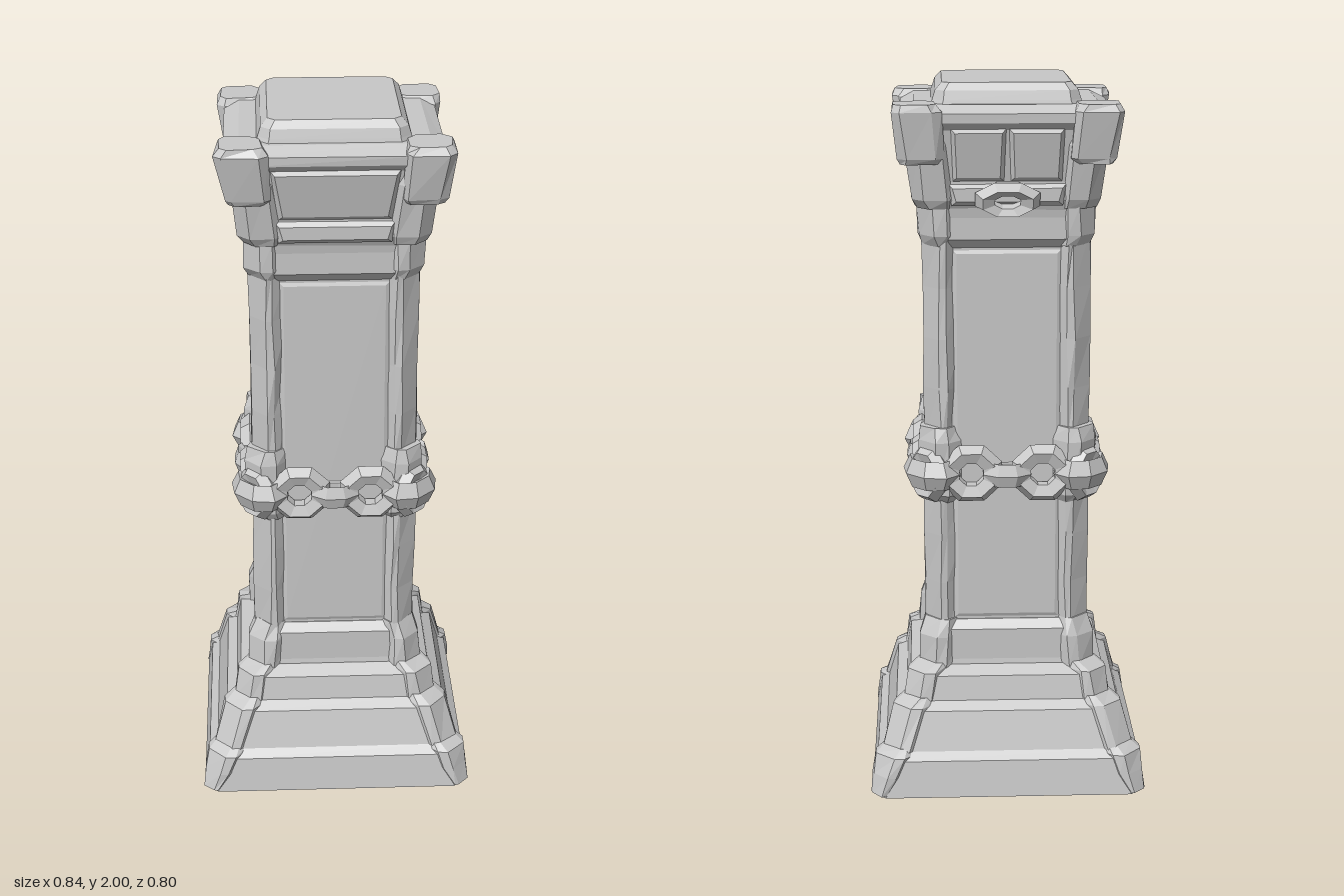
import * as THREE from 'three';

const stone = new THREE.MeshStandardMaterial({ color: 0xc8c8c8, flatShading: true });
stone.name = 'pale stone';

// small seeded noise for the rough-hewn edges
let seed = 7;
const rough = (amount) => {
  seed = (seed * 16807) % 2147483647;
  return (seed / 2147483647 - 0.5) * 2 * amount;
};

// Stacks chamfered rectangles [y, halfX, halfZ, chamfer, centreX, centreZ] into a closed solid
function loft(name, sections, jitter = 0) {
  const pos = [], idx = [];
  for (const [y, hx, hz, c, cx = 0, cz = 0] of sections) {
    const ring = [[c - hx, hz], [hx - c, hz], [hx, hz - c], [hx, c - hz],
      [hx - c, -hz], [c - hx, -hz], [-hx, c - hz], [-hx, hz - c]];
    for (const [x, z] of ring) pos.push(cx + x + rough(jitter), y, cz + z + rough(jitter));
  }
  const last = (sections.length - 1) * 8;
  for (let s = 0; s < last; s += 8) {
    for (let i = 0; i < 8; i++) {
      const a = s + i, b = s + (i + 1) % 8;
      idx.push(a, b, b + 8, a, b + 8, a + 8);
    }
  }
  for (let i = 1; i < 7; i++) idx.push(0, i + 1, i, last, last + i, last + i + 1);
  return solid(name, pos, idx);
}

function solid(name, pos, idx) {
  const geo = new THREE.BufferGeometry();
  geo.setAttribute('position', new THREE.Float32BufferAttribute(pos, 3));
  geo.setIndex(idx);
  const flat = geo.toNonIndexed();
  flat.computeVertexNormals();
  const mesh = new THREE.Mesh(flat, stone);
  mesh.name = name;
  return mesh;
}

const THIN = 0.022; // the pillar is slightly shallower than it is wide
const tier = (y, h, c) => [y, h, h - THIN, c];

// Repeats a corner stone at all four corners; stations are [y, outerHalf, blockHalf, chamfer]
function corners(name, stations, jitter) {
  const group = new THREE.Group();
  group.name = name + 's';
  for (const sx of [-1, 1]) for (const sz of [-1, 1]) {
    group.add(loft(name, stations.map(([y, h, b, c]) =>
      [y, b, b, c, sx * (h - b), sz * (h - THIN - b)]), jitter));
  }
  return group;
}

// Adds something to each of the four faces; make(faceIndex) is built facing +z
function faces(name, dist, make) {
  const group = new THREE.Group();
  group.name = name;
  for (let i = 0; i < 4; i++) {
    const side = new THREE.Group();
    side.add(...make(i));
    const holder = new THREE.Group();
    side.position.z = i % 2 ? dist : dist - THIN;
    holder.rotation.y = i * Math.PI / 2;
    holder.add(side);
    group.add(holder);
  }
  return group;
}

// Thin bevelled plate facing +z, tapering from bottom width to top width
function plate(name, x, y0, y1, w0, w1, depth, lean = 0) {
  const m = 0.012;
  const quad = (e, z) => [[x - w0 + e, y0 + e, z], [x + w0 - e, y0 + e, z],
    [x + w1 - e, y1 - e, z + lean], [x - w1 + e, y1 - e, z + lean]].flat();
  const idx = [4, 5, 6, 4, 6, 7];
  for (let i = 0; i < 4; i++) {
    const j = (i + 1) % 4;
    idx.push(i, j, j + 4, i, j + 4, i + 4);
  }
  return solid(name, [...quad(0, 0), ...quad(m, depth)], idx);
}

// Blocky chain link
const linkGeometry = new THREE.TorusGeometry(0.057, 0.029, 5, 8);
linkGeometry.rotateZ(Math.PI / 8);
function link(name, x, y, z, sx, sy, sz, rx = 0, ry = 0) {
  const mesh = new THREE.Mesh(linkGeometry, stone);
  mesh.name = name;
  mesh.position.set(x, y, z);
  mesh.rotation.set(rx, ry, 0, 'YXZ');
  mesh.scale.set(sx, sy, sz);
  return mesh;
}

export function createModel() {
  seed = 7;
  const pillar = new THREE.Group();
  pillar.name = 'stonePillar';
  pillar.rotation.y = 0.087;

  // stepped plinth, hollow underneath
  pillar.add(loft('plinth', [
    tier(0.19, 0.26, 0.05), tier(0.12, 0.29, 0.05), tier(0.1, 0.335, 0.05), tier(0, 0.378, 0.05),
    tier(0, 0.39, 0.04), tier(0.105, 0.374, 0.05), tier(0.125, 0.35, 0.05),
    tier(0.235, 0.32, 0.05), tier(0.255, 0.29, 0.05), tier(0.325, 0.278, 0.05),
    tier(0.345, 0.24, 0.05)]));
  pillar.add(corners('plinthCornerStone', [
    [0.005, 0.391, 0.035, 0.03], [0.06, 0.387, 0.055, 0.042],
    [0.115, 0.378, 0.065, 0.05], [0.135, 0.352, 0.055, 0.045]], 0.003));
  pillar.add(corners('middleCornerStone', [
    [0.125, 0.357, 0.06, 0.045], [0.245, 0.326, 0.065, 0.05], [0.265, 0.295, 0.055, 0.045]], 0.003));
  pillar.add(corners('upperCornerStone', [
    [0.25, 0.296, 0.06, 0.042], [0.335, 0.283, 0.06, 0.046], [0.355, 0.25, 0.055, 0.045]], 0.003));

  // shaft core and the bands at its ends
  pillar.add(loft('shaftCore', [tier(0.33, 0.212, 0.04), tier(1.7, 0.212, 0.04)]));
  pillar.add(loft('lowerBand', [
    tier(0.335, 0.238, 0.05), tier(0.36, 0.234, 0.05), tier(0.45, 0.234, 0.05), tier(0.475, 0.214, 0.05)]));
  pillar.add(loft('upperBand', [
    tier(1.555, 0.214, 0.05), tier(1.58, 0.234, 0.05), tier(1.64, 0.234, 0.05), tier(1.68, 0.24, 0.05)]));
  pillar.add(corners('lowerBandCorner', [
    [0.34, 0.252, 0.06, 0.044], [0.43, 0.248, 0.06, 0.044], [0.48, 0.23, 0.055, 0.044]], 0.004));
  pillar.add(corners('upperBandCorner', [
    [1.56, 0.23, 0.055, 0.044], [1.59, 0.242, 0.06, 0.044], [1.67, 0.243, 0.06, 0.044]], 0.004));

  // chipped corner posts
  const post = [];
  for (let i = 0; i <= 8; i++) post.push([0.45 + i * 0.142, 0.231, 0.055, 0.046]);
  pillar.add(corners('cornerPost', post, 0.004));
  pillar.add(faces('shaftPanels', 0.211, () => [plate('shaftPanel', 0, 0.48, 1.55, 0.15, 0.15, 0.005)]));

  // corner cuffs that carry the chain
  pillar.add(corners('chainCuff', [
    [0.83, 0.23, 0.055, 0.044], [0.855, 0.247, 0.065, 0.046],
    [1.01, 0.25, 0.065, 0.046], [1.05, 0.24, 0.055, 0.042]], 0.005));

  // chain: upright links on the faces, flat links between them and around the corners
  const chain = faces('chain', 0.238, () => [
    link('chainLink', -0.1, 0.92, 0, 1.08, 1.02, 1), link('chainLink', 0.1, 0.92, 0, 1.08, 1.02, 1),
    link('flatLink', 0, 0.92, 0, 0.85, 0.55, 1.2, Math.PI / 2)]);
  for (const sx of [-1, 1]) for (const sz of [-1, 1]) {
    chain.add(link('cornerLink', sx * 0.21, 0.92, sz * 0.188, 1.08, 0.85, 1.5, Math.PI / 2, sx * sz * Math.PI / 4));
    chain.add(link('cornerHangingLink', sx * 0.218, 0.915, sz * 0.196, 0.85, 1, 1, 0, sx * sz * Math.PI / 4));
  }
  pillar.add(chain);

  // flared capital with panels on each face, a single broad one at the front
  pillar.add(loft('capital', [
    tier(1.66, 0.236, 0.05), tier(1.69, 0.25, 0.05), tier(1.74, 0.248, 0.05),
    tier(1.88, 0.274, 0.05), tier(1.9, 0.29, 0.05), tier(1.925, 0.29, 0.05),
    tier(1.945, 0.25, 0.05)], 0.002));
  pillar.add(corners('capitalCorner', [
    [1.665, 0.246, 0.06, 0.035], [1.69, 0.257, 0.065, 0.035], [1.84, 0.278, 0.07, 0.04], [1.9, 0.278, 0.055, 0.03]], 0.004));
  pillar.add(faces('capitalPanels', 0.248, (i) => [
    ...(i === 0 ? [plate('capitalPanel', 0, 1.74, 1.885, 0.15, 0.17, 0.014, 0.026)]
      : [-0.078, 0.078].map((x) => plate('capitalPanel', x, 1.74, 1.885, 0.07, 0.075, 0.014, 0.026))),
    plate('capitalLedge', 0, 1.675, 1.735, 0.15, 0.16, 0.012)]));

  // horn stones at the top corners
  pillar.add(corners('hornStone', [
    [1.79, 0.283, 0.05, 0.015], [1.805, 0.291, 0.06, 0.018],
    [1.93, 0.312, 0.068, 0.022], [1.95, 0.302, 0.055, 0.02]], 0.005));

  // top slab
  pillar.add(loft('topSlab', [
    [1.935, 0.206, 0.218, 0.03], [1.955, 0.2, 0.213, 0.03], [1.98, 0.192, 0.206, 0.025], [2, 0.174, 0.19, 0.02]]));

  // broken link left on the back of the capital
  pillar.add(link('brokenLink', 0, 1.695, -0.245, 1.1, 0.6, 1.2, -0.3));

  const model = new THREE.Group();
  model.name = 'model';
  model.add(pillar);
  return model;
}
